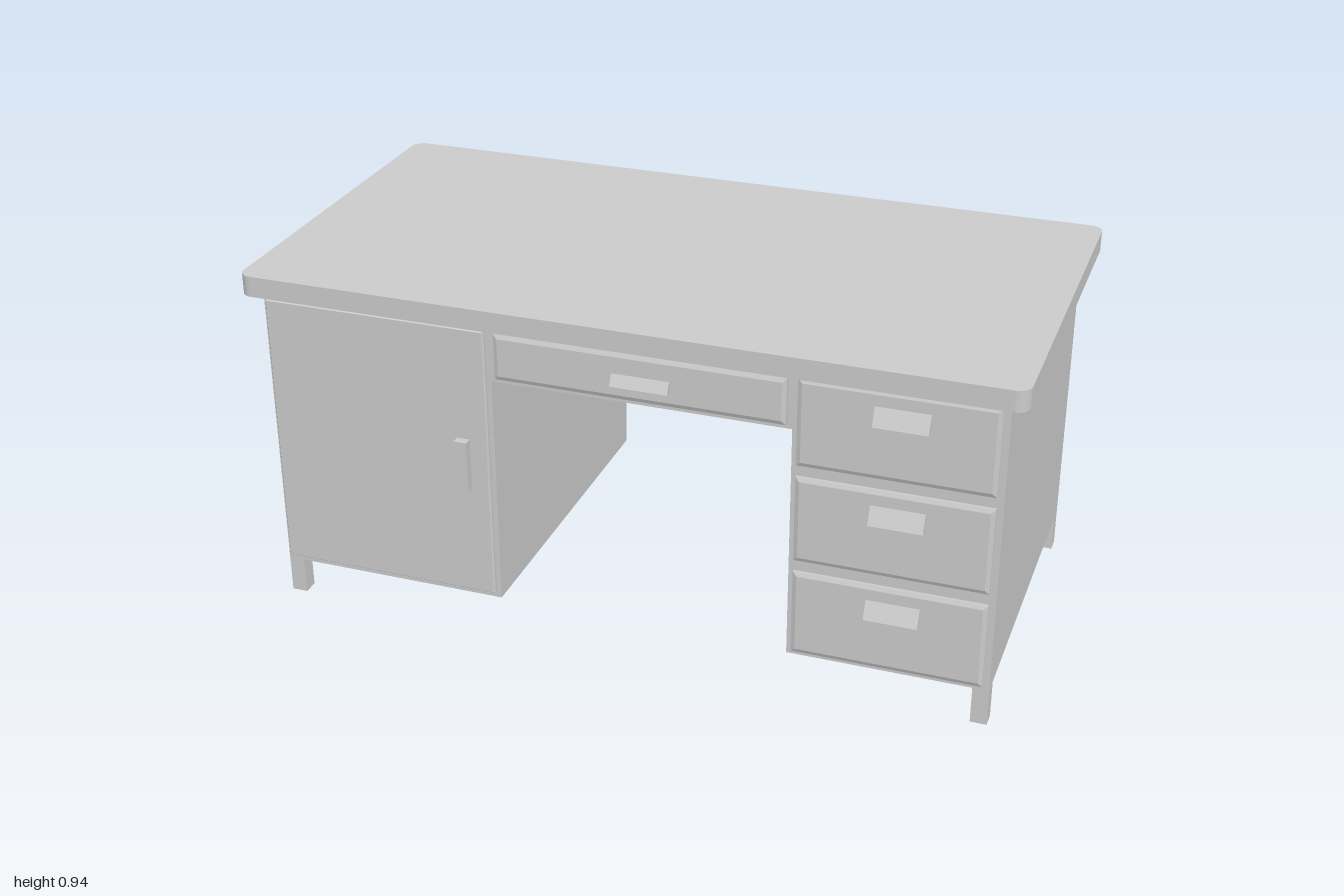
import * as THREE from 'three';

const material = new THREE.MeshStandardMaterial({ color: 0xcccccc, flatShading: true });
const smooth = new THREE.MeshStandardMaterial({ color: 0xcccccc });
const FRONT = 0.47, BACK = -0.46;

export function createModel() {
  const desk = new THREE.Group();
  desk.name = 'desk';

  const add = (name, geometry, mat = material) => {
    const mesh = new THREE.Mesh(geometry, mat);
    mesh.name = name;
    desk.add(mesh);
    return mesh;
  };
  const polygon = (points) => new THREE.Shape(points.map(([x, y]) => new THREE.Vector2(x, y)));

  // Raised panel with a narrow chamfer around its face
  const panel = (name, x0, x1, y0, y1, depth, chamfer) => {
    const c = chamfer;
    const shape = polygon([[x0 + c, y0 + c], [x1 - c, y0 + c], [x1 - c, y1 - c], [x0 + c, y1 - c]]);
    const geometry = new THREE.ExtrudeGeometry(shape, {
      depth: depth, bevelEnabled: true, bevelSegments: 1,
      bevelSize: c, bevelThickness: 0.005,
    });
    geometry.translate(0, 0, FRONT);
    add(name, geometry);
  };

  // Wedge pull: overhangs at the bottom and slopes back towards the top
  const pull = (name, x0, x1, y0, y1, zBack, zFront) => {
    const shape = polygon([[zBack, y0], [zFront, y0], [zBack + 0.003, y1], [zBack, y1]]);
    const geometry = new THREE.ExtrudeGeometry(shape, { depth: x1 - x0, bevelEnabled: false });
    geometry.rotateY(-Math.PI / 2).translate(x1, 0, 0);
    add(name, geometry);
  };

  // Worktop with rounded corners
  const w = 1, d = 0.517, r = 0.035;
  const top = new THREE.Shape();
  top.moveTo(-w + r, -d);
  top.absarc(w - r, -d + r, r, -Math.PI / 2, 0);
  top.absarc(w - r, d - r, r, 0, Math.PI / 2);
  top.absarc(-w + r, d - r, r, Math.PI / 2, Math.PI);
  top.absarc(-w + r, -d + r, r, Math.PI, Math.PI * 1.5);
  const topGeometry = new THREE.ExtrudeGeometry(top, { depth: 0.055, bevelEnabled: false, curveSegments: 6 });
  topGeometry.rotateX(-Math.PI / 2).translate(0, 0.886, 0);
  add('worktop', topGeometry, smooth);

  // Carcass: two pedestals joined above the knee space
  const carcass = new THREE.ExtrudeGeometry(polygon([
    [-0.957, 0.1], [-0.335, 0.1], [-0.335, 0.73], [0.44, 0.73],
    [0.44, 0.1], [0.955, 0.1], [0.955, 0.887], [-0.957, 0.887],
  ]), { depth: FRONT - BACK, bevelEnabled: false });
  carcass.translate(0, 0, BACK);
  add('carcass', carcass);

  // Corner feet, open underneath
  for (const x of [-0.936, 0.934]) {
    for (const z of [FRONT - 0.021, BACK + 0.021]) {
      const foot = new THREE.CylinderGeometry(0.0297, 0.0297, 0.1, 4, 1, true);
      foot.rotateY(Math.PI / 4).translate(x, 0.05, z);
      add('foot', foot);
    }
  }

  // Cupboard door with its upright handle
  panel('door', -0.95, -0.348, 0.115, 0.868, 0.007, 0.004);
  const handle = new THREE.BoxGeometry(0.034, 0.14, 0.025);
  handle.translate(-0.415, 0.492, 0.4915);
  add('doorHandle', handle);

  // Three drawers in the side pedestal
  for (const y of [0.112, 0.376, 0.639]) {
    panel('sideDrawer', 0.453, 0.938, y, y + 0.232, 0.007, 0.011);
    pull('sideDrawerPull', 0.64, 0.775, y + 0.147, y + 0.191, 0.481, 0.505);
  }

  // Shallow drawer over the knee space
  panel('centreDrawer', -0.32, 0.428, 0.745, 0.868, 0.013, 0.011);
  pull('centreDrawerPull', -0.01, 0.138, 0.785, 0.813, 0.487, 0.505);

  return desk;
}
